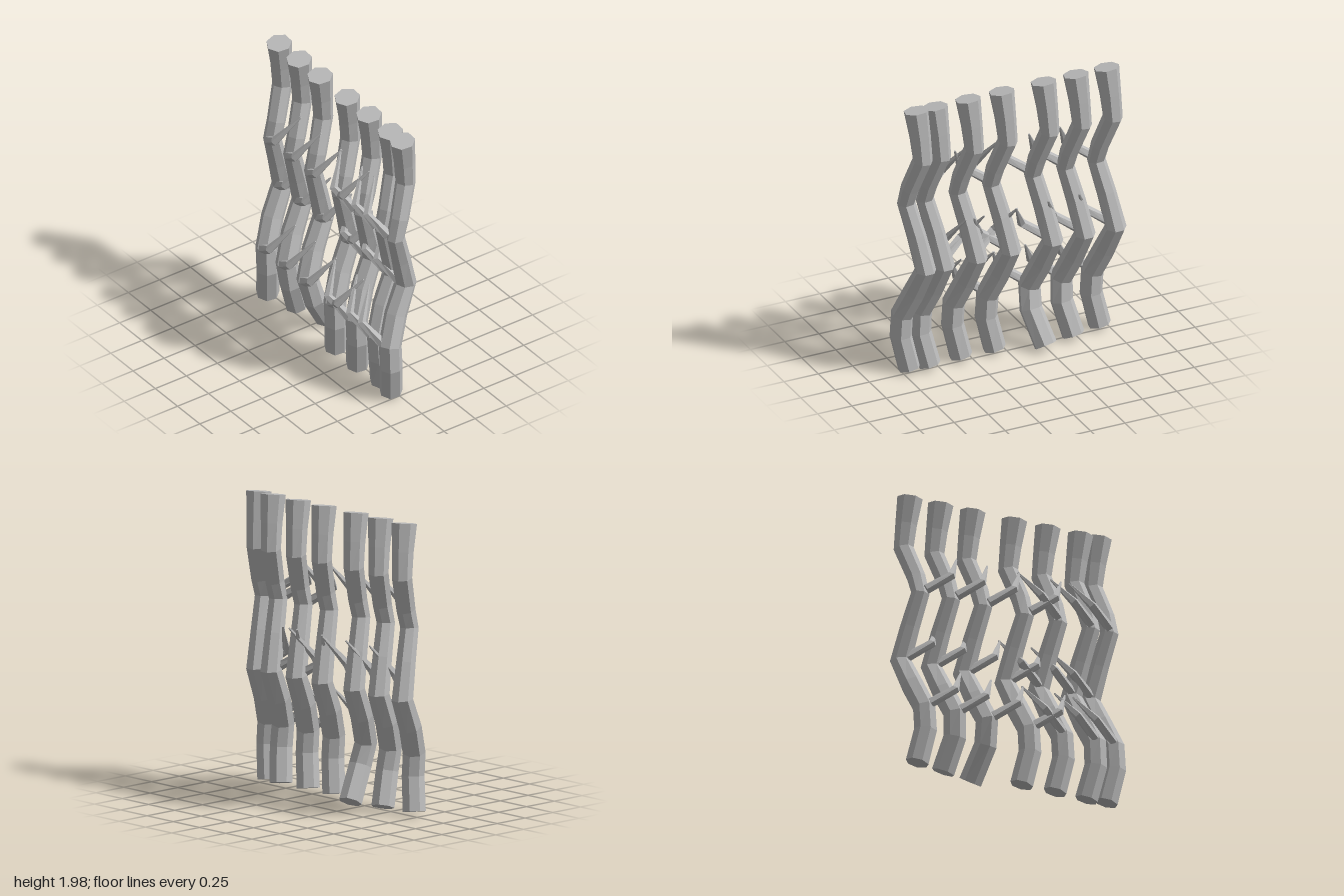
import * as THREE from 'three';

const UP = new THREE.Vector3(0, 1, 0);

// Faceted tube with closed ends: one ring per point [x, y, z, radius], bottom to top
function limb(points, sides) {
  const n = points.length - 1;
  const centres = points.map(([x, y, z]) => new THREE.Vector3(x, y, z));
  const turns = centres.map((c, i) => {
    const dir = centres[Math.min(i + 1, n)].clone().sub(centres[Math.max(i - 1, 0)]).normalize();
    return new THREE.Quaternion().setFromUnitVectors(UP, dir);
  });
  const geo = new THREE.CylinderGeometry(1, 1, 1, sides, n).toNonIndexed();
  const pos = geo.attributes.position;
  const v = new THREE.Vector3();
  for (let k = 0; k < pos.count; k++) {
    v.fromBufferAttribute(pos, k);
    const i = Math.round((v.y + 0.5) * n);
    v.y = 0;
    v.multiplyScalar(points[i][3]).applyQuaternion(turns[i]).add(centres[i]);
    pos.setXYZ(k, v.x, v.y, v.z);
  }
  geo.computeVertexNormals();
  return geo;
}

// Shared winding path of a stem: sway in x, height, depth, radius
const STEM = [
  [0.005, 0.04, 0.03, 0.078],
  [0.05, 0.27, 0.062, 0.077],
  [0.04, 0.43, 0.062, 0.077],
  [-0.01, 0.62, -0.02, 0.077],
  [-0.04, 0.82, -0.12, 0.073],
  [-0.005, 1.05, -0.055, 0.066],
  [0.035, 1.27, 0.015, 0.062],
  [0.025, 1.4, -0.025, 0.064],
  [-0.025, 1.63, -0.108, 0.068],
  [-0.015, 1.8, -0.092, 0.073],
  [0, 1.985, -0.065, 0.086],
];

// Per stem: x position, how far the foot swings back, lean of its thorns
const STEMS = [
  [-0.695, 0, 1],
  [-0.47, 0.07, 1],
  [-0.235, 0.14, 1],
  [0.07, 0, 1],
  [0.315, 0, -1],
  [0.555, 0.02, -1],
  [0.69, 0, -1],
];

// Ring of the stem at which each row of thorns grows
const THORN_RINGS = [2, 4, 6];

export function createModel() {
  const model = new THREE.Group();
  const bark = new THREE.MeshStandardMaterial({ color: 0xb9b9b9, flatShading: true });
  bark.name = 'grey bark';

  STEMS.forEach(([x0, back, lean], s) => {
    const plant = new THREE.Group();
    plant.name = `vine${s + 1}`;

    // Winding stem, foot swung back on some
    const path = STEM.map(([x, y, z, r], i) => {
      const swing = i === 0 ? back : i === 1 ? back * 0.3 : 0;
      return [x0 + x, y + swing * 0.1, z - swing, r];
    });
    const stem = new THREE.Mesh(limb(path, 7), bark);
    stem.name = 'stem';
    plant.add(stem);

    // Elbowed thorns reaching to the next stem
    for (const ring of THORN_RINGS) {
      const [x, y, z] = path[ring];
      const thorn = new THREE.Mesh(limb([
        [x + lean * 0.02, y + 0.02, z + 0.045, 0.034],
        [x + lean * 0.175, y + 0.125, z + 0.105, 0.03],
        [x + lean * 0.28, y + 0.32, z - 0.03, 0.006],
      ], 5), bark);
      thorn.name = 'thorn';
      plant.add(thorn);
    }
    model.add(plant);
  });

  return model;
}
